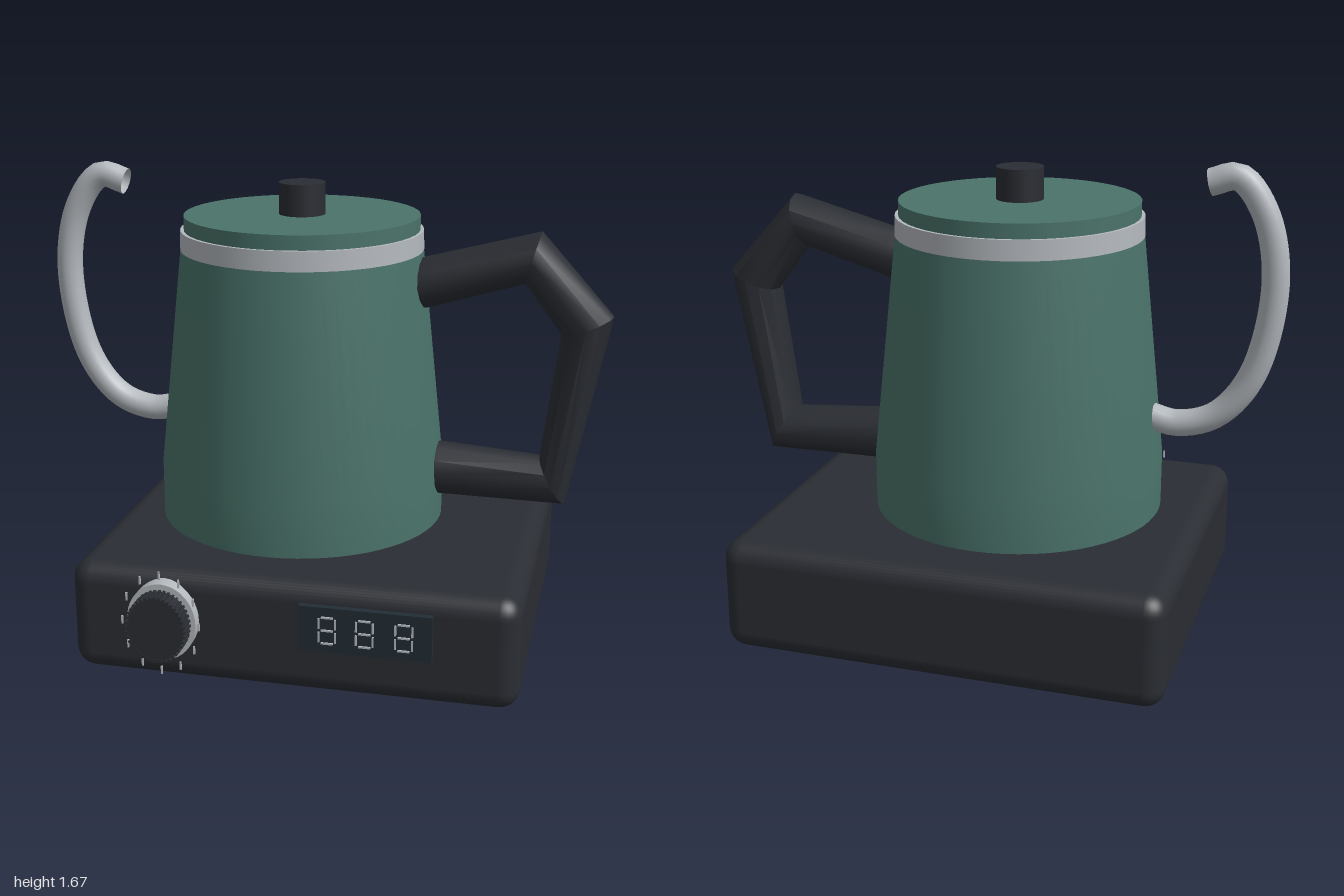
import * as THREE from 'three';
import { toCreasedNormals } from 'three/addons/utils/BufferGeometryUtils.js';
import { RoundedBoxGeometry } from 'three/addons/geometries/RoundedBoxGeometry.js';

const mat = (color, side = THREE.FrontSide) => new THREE.MeshStandardMaterial({ color, side });

// Sweeps a round section along centres in the xy plane; each ring is [x, y, tilt of its plane in radians]
function sweptRings(rings, radius, sides) {
  const pos = [], index = [];
  for (const [x, y, tilt] of rings) {
    for (let j = 0; j < sides; j++) {
      const a = (j / sides) * Math.PI * 2;
      const r = radius * Math.cos(a);
      pos.push(x + r * Math.cos(tilt), y + r * Math.sin(tilt), radius * 1.02 * Math.sin(a));
    }
  }
  for (let i = 0; i < rings.length - 1; i++) {
    for (let j = 0; j < sides; j++) {
      const a = i * sides + j, b = i * sides + ((j + 1) % sides);
      index.push(a, b, a + sides, b, b + sides, a + sides);
    }
  }
  const g = new THREE.BufferGeometry();
  g.setAttribute('position', new THREE.Float32BufferAttribute(pos, 3));
  g.setIndex(index);
  return toCreasedNormals(g, 0.6);
}

export function createModel() {
  const model = new THREE.Group();
  model.name = 'electricKettle';
  const green = mat(0x4a736a), dark = mat(0x2a2d33), silver = mat(0xb4b9be);
  const screen = mat(0x222d36);

  const add = (parent, name, geometry, material, x = 0, y = 0, z = 0) => {
    const mesh = new THREE.Mesh(geometry, material);
    mesh.name = name;
    mesh.position.set(x, y, z);
    parent.add(mesh);
    return mesh;
  };
  const group = (name, x, y, z) => {
    const g = new THREE.Group();
    g.name = name;
    g.position.set(x, y, z);
    model.add(g);
    return g;
  };

  // Heating base with four low feet
  add(model, 'base', new RoundedBoxGeometry(1.535, 0.395, 1.295, 4, 0.07), dark, 0.018, 0.2025, -0.0525);
  for (const x of [-0.65, 0.69]) {
    for (const z of [0.42, -0.51]) {
      add(model, 'foot', new THREE.CylinderGeometry(0.06, 0.06, 0.03, 24), dark, x, 0.015, z);
    }
  }

  // Kettle: body, band, lid and knob share one axis
  const kettle = group('kettle', -0.083, 0, -0.05);
  kettle.scale.z = 1.015;
  const profile = [[0, 0.43], [0.507, 0.43], [0.507, 0.62], [0.424, 1.4], [0, 1.4]];
  const bodyGeo = new THREE.LatheGeometry(profile.map(([r, y]) => new THREE.Vector2(r, y)), 64);
  add(kettle, 'body', toCreasedNormals(bodyGeo, 0.6), green);
  add(kettle, 'rimBand', new THREE.CylinderGeometry(0.424, 0.426, 0.068, 48), silver, 0, 1.426, 0);
  add(kettle, 'lid', new THREE.CylinderGeometry(0.412, 0.412, 0.052, 48), green, 0, 1.484, 0);
  add(kettle, 'lidKnob', new THREE.CylinderGeometry(0.081, 0.081, 0.115, 32), dark, 0, 1.5625, 0);

  // Angular handle on the left
  const handleRings = [
    [0.28, 1.265, 1.5], [0.36, 1.288, 1.45], [0.725, 1.39, 1.3],
    [0.915, 1.165, 0.39], [0.82, 0.602, -1.04], [0.42, 0.618, -1.57], [0.33, 0.622, -1.57],
  ];
  add(model, 'handle', sweptRings(handleRings, 0.095, 12), mat(0x2a2d33, THREE.DoubleSide), 0, 0, -0.048);

  // Gooseneck spout on the right
  const spoutPath = new THREE.CatmullRomCurve3([
    [-0.55, 0.785], [-0.65, 0.767], [-0.78, 0.81], [-0.895, 0.96], [-0.955, 1.28],
    [-0.91, 1.51], [-0.82, 1.622], [-0.728, 1.6],
  ].map(([x, y]) => new THREE.Vector3(x, y, 0)));
  add(model, 'spout', new THREE.TubeGeometry(spoutPath, 48, 0.046, 16), mat(0xb4b9be, THREE.DoubleSide), 0, 0, -0.053);

  // Control dial: collar, ribbed knob and a ring of marks, slightly taller than wide
  const dial = group('controlDial', -0.408, 0.235, 0);
  const disc = (name, r, z0, z1, material) => {
    const m = add(dial, name, new THREE.CylinderGeometry(r, r, z1 - z0, 40), material, 0, 0, (z0 + z1) / 2);
    m.rotation.x = Math.PI / 2;
    m.scale.z = 1.14;
  };
  disc('dialCollar', 0.12, 0.575, 0.635, silver);
  disc('dialKnob', 0.098, 0.63, 0.698, dark);
  for (let i = 0; i < 40; i++) {
    const a = (i / 40) * Math.PI * 2;
    const rib = add(dial, 'dialRib', new THREE.BoxGeometry(0.012, 0.008, 0.062), dark,
      0.099 * Math.cos(a), 0.113 * Math.sin(a), 0.669);
    rib.rotation.z = a;
  }
  for (let i = 0; i < 12; i++) {
    const a = (i / 12) * Math.PI * 2;
    add(dial, 'dialMark', new THREE.BoxGeometry(0.006, 0.028, 0.006), silver,
      0.134 * Math.cos(a), 0.172 * Math.sin(a), 0.643);
  }

  // Display panel with three blocks of seven bars
  const display = group('display', 0.282, 0.256, 0);
  add(display, 'displayPanel', new THREE.BoxGeometry(0.445, 0.16, 0.05), screen, 0, 0, 0.592);
  for (const x of [-0.125, 0, 0.13]) {
    for (const y of [-0.046, 0, 0.046]) {
      add(display, 'displayBar', new THREE.BoxGeometry(0.04, 0.006, 0.008), silver, x, y, 0.619);
    }
    for (const sx of [-0.028, 0.028]) {
      for (const y of [-0.024, 0.024]) {
        add(display, 'displayBar', new THREE.BoxGeometry(0.006, 0.036, 0.008), silver, x + sx, y, 0.619);
      }
    }
  }
  return model;
}
